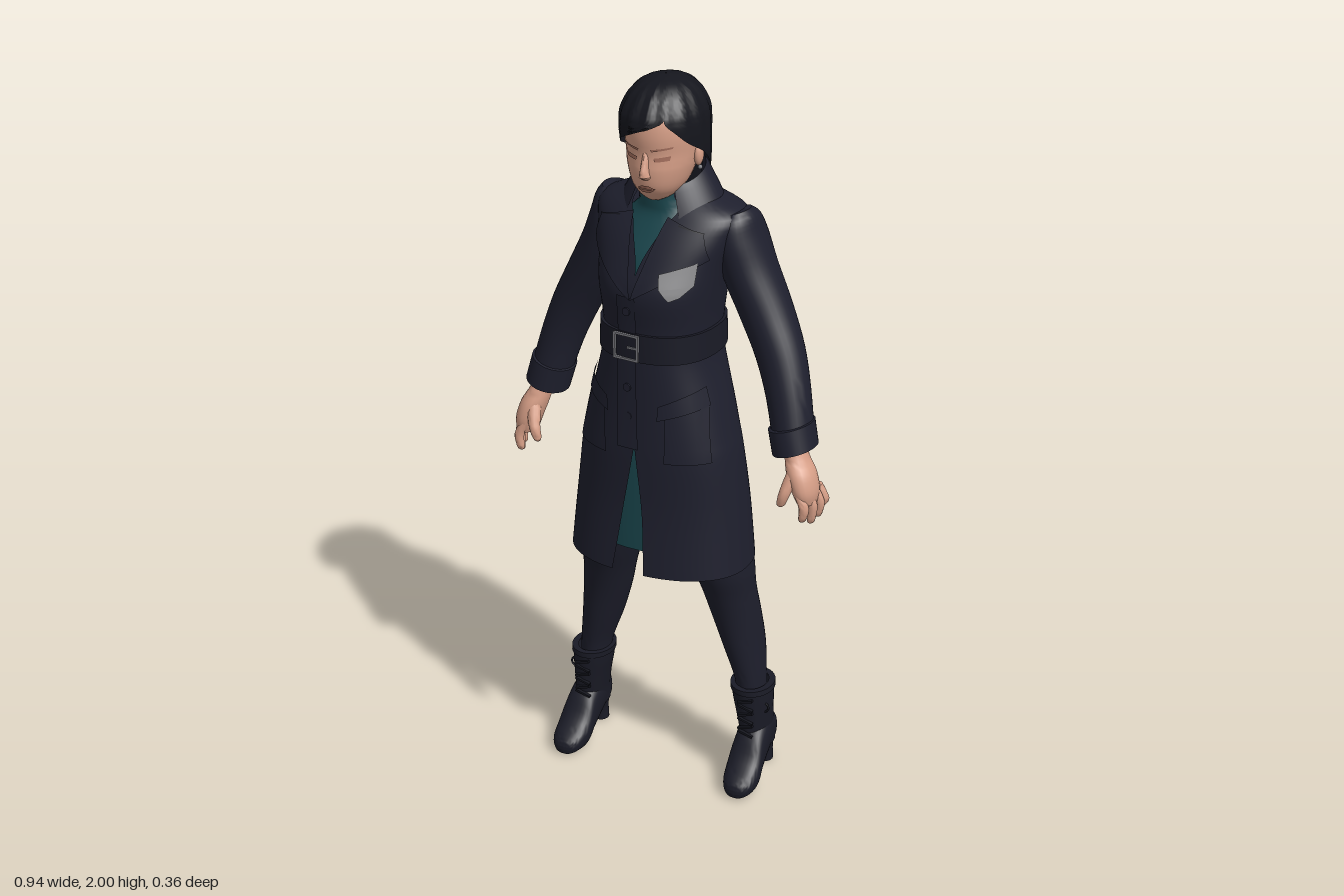
import * as THREE from 'three';
import { toCreasedNormals } from 'three/addons/utils/BufferGeometryUtils.js';

const mat = (name, color, side = THREE.DoubleSide) => new THREE.MeshStandardMaterial({ name, color, side });
const M = {
  coat: mat('coat navy', 0x1e1f2d), trim: mat('dark trim', 0x14151d), hair: mat('hair black', 0x15161d),
  skin: mat('skin', 0xd8a088), teal: mat('teal knit', 0x1a464d, THREE.FrontSide), legs: mat('leggings', 0x1d1e2b),
  leather: mat('dark leather', 0x1a1b26), silver: mat('silver', 0x7c7d82), badge: mat('grey badge', 0x8e8e90),
  brown: mat('face brown', 0xa87260),
};

function add(parent, name, geometry, material) {
  const mesh = new THREE.Mesh(geometry, material);
  mesh.name = name;
  parent.add(mesh);
}

// Smooth in-between rings. A ring is [y, cx, cz, rx, rz, openLeft, openRight]
function refine(rings, sub = 4) {
  const full = rings.map(r => Array.from({ length: 7 }, (_, k) => r[k] ?? 0));
  const out = [];
  for (let i = 0; i < full.length - 1; i++) {
    const [a, b, c, d] = [full[Math.max(i - 1, 0)], full[i], full[i + 1], full[Math.min(i + 2, full.length - 1)]];
    for (let j = 0; j < sub; j++) {
      const t = j / sub;
      out.push(b.map((p, k) => p + 0.5 * t * (c[k] - a[k]
        + t * (2 * a[k] - 5 * p + 4 * c[k] - d[k] + t * (3 * (p - c[k]) + d[k] - a[k])))));
    }
  }
  out.push(full[full.length - 1]);
  return out;
}

// Skin over horizontal rings listed bottom to top; angle 0 is the front
function loft(rings, { n = 2, seg = 32, open = false, cap = false, ripple = 0, tiltX = 0, tiltZ = 0 } = {}) {
  const pos = [], idx = [], cols = open ? seg + 1 : seg;
  const pw = v => Math.sign(v) * Math.abs(v) ** (2 / n);
  for (const [y, cx, cz, rx, rz, aL = 0, aR = 0] of rings) {
    for (let i = 0; i < cols; i++) {
      const a = aL + (2 * Math.PI - aR - aL) * i / seg;
      const k = 1 + ripple * Math.sin(a * 15);
      const dx = rx * k * pw(Math.sin(a)), dz = rz * k * pw(Math.cos(a));
      pos.push(cx + dx, y + dx * tiltX + dz * tiltZ, cz + dz);
    }
  }
  for (let j = 0; j < rings.length - 1; j++) for (let i = 0; i < seg; i++) {
    const a = j * cols + i, b = j * cols + (i + 1) % cols;
    idx.push(a, b, a + cols, b, b + cols, a + cols);
  }
  if (cap) for (const j of [0, rings.length - 1]) {
    const [y, cx, cz] = rings[j], c = pos.length / 3;
    pos.push(cx, y, cz);
    for (let i = 0; i < seg; i++) {
      const a = j * cols + i, b = j * cols + (i + 1) % cols;
      if (j) idx.push(a, b, c); else idx.push(b, a, c);
    }
  }
  const g = new THREE.BufferGeometry();
  g.setAttribute('position', new THREE.Float32BufferAttribute(pos, 3));
  g.setIndex(idx);
  return toCreasedNormals(g, 0.9);
}

// Thin four-cornered plate laid on the front (side 1) or back (side -1) of a lofted body
function patch(rings, n, corners, off, side = 1) {
  const g = new THREE.PlaneGeometry(1, 1, 8, 8), p = g.attributes.position;
  const [tl, tr, br, bl] = corners, mix = THREE.MathUtils.lerp;
  for (let i = 0; i < p.count; i++) {
    const u = p.getX(i) + 0.5, v = 0.5 - p.getY(i);
    const x = mix(mix(tl[0], tr[0], u), mix(bl[0], br[0], u), v);
    const y = mix(mix(tl[1], tr[1], u), mix(bl[1], br[1], u), v);
    let j = rings.findIndex(r => r[0] > y);
    j = j < 1 ? 1 : j;
    const t = (y - rings[j - 1][0]) / (rings[j][0] - rings[j - 1][0]);
    const [, cx, cz, rx, rz] = rings[j].map((q, k) => mix(rings[j - 1][k], q, t));
    const q = Math.min(Math.abs((x - cx) / rx), 1);
    p.setXYZ(i, x, y, cz + side * (rz * (1 - q ** n) ** (1 / n) + off));
  }
  g.computeVertexNormals();
  return g;
}
const rect = (x0, x1, y0, y1) => [[x0, y1], [x1, y1], [x1, y0], [x0, y0]];
const flip = (rings, s) => rings.map(([y, x, ...r]) => [y, x * s, ...r]);
const mirror = (pts, s) => pts.map(([x, y]) => [x * s, y]);

// Turns the upper body slightly while the feet stay straight
function twist(group) {
  const v = new THREE.Vector3(), up = new THREE.Vector3(0, 1, 0);
  group.traverse(o => {
    if (!o.isMesh) return;
    const { position, normal } = o.geometry.attributes;
    for (let i = 0; i < position.count; i++) {
      const angle = -0.1 * THREE.MathUtils.smoothstep(position.getY(i), 0.75, 1.3);
      for (const at of [position, normal]) {
        v.fromBufferAttribute(at, i).applyAxisAngle(up, angle);
        at.setXYZ(i, v.x, v.y, v.z);
      }
    }
  });
}

function buildBody(g) {
  const n = 2.3;
  const coat = refine([
    [0.68, 0, 0.003, 0.252, 0.177, 0.06, 0.23], [0.85, 0, 0, 0.236, 0.166, 0.04, 0.14],
    [1.0, 0, 0.005, 0.218, 0.16, 0.01, 0.03], [1.06, 0, 0.005, 0.206, 0.158], [1.15, 0, 0.003, 0.185, 0.156],
    [1.28, 0, 0.002, 0.152, 0.153], [1.36, 0, 0, 0.15, 0.151], [1.46, 0, -0.002, 0.162, 0.162],
    [1.53, 0, -0.018, 0.176, 0.152, 0.01, 0.01], [1.6, 0, -0.04, 0.198, 0.137, 0.12, 0.12],
    [1.65, 0, -0.055, 0.203, 0.115, 0.24, 0.24], [1.685, 0, -0.055, 0.13, 0.085, 0.5, 0.5],
    [1.71, 0, -0.05, 0.07, 0.06, 0.8, 0.8]]);
  add(g, 'coat', loft(coat, { n, seg: 64, open: true }), M.coat);
  add(g, 'coatPlacket', patch(coat, n, [[-0.045, 1.46], [0.01, 1.46], [0.012, 1.04], [-0.05, 1.04]], 0.004), M.coat);
  add(g, 'dress', loft(refine([[0.73, 0, 0, 0.2, 0.14], [1.0, 0, 0, 0.18, 0.135], [1.2, 0, 0, 0.14, 0.12]]), { n }), M.teal);
  add(g, 'sweater', loft(refine([[1.31, 0, 0, 0.154, 0.155], [1.345, 0, 0, 0.151, 0.152], [1.37, 0, 0, 0.14, 0.143],
    [1.45, 0, -0.01, 0.135, 0.14], [1.53, 0, -0.02, 0.14, 0.137], [1.6, 0, -0.04, 0.14, 0.121],
    [1.65, 0, -0.03, 0.09, 0.087], [1.68, 0, -0.01, 0.062, 0.066], [1.725, 0, 0, 0.055, 0.058]]), { n }), M.teal);
  // Collar stands around the neck and folds outward
  add(g, 'collar', loft([[1.635, 0, -0.032, 0.158, 0.122, 0.62, 0.62], [1.685, 0, -0.036, 0.13, 0.108, 0.6, 0.6],
    [1.735, 0, -0.036, 0.1, 0.094, 0.6, 0.6], [1.75, 0, -0.036, 0.088, 0.086, 0.6, 0.6],
    [1.65, 0, -0.036, 0.078, 0.078, 0.6, 0.6]], { seg: 40, open: true, tiltZ: -0.33 }), M.coat);
  // Belt with buckle
  add(g, 'belt', loft([[1.285, 0, 0, 0.148, 0.148], [1.285, 0, 0, 0.159, 0.161], [1.36, 0, 0, 0.158, 0.159],
    [1.36, 0, 0, 0.148, 0.148]], { n, seg: 48 }), M.leather);
  const frame = new THREE.Shape(rect(-0.037, 0.037, -0.036, 0.036).map(p => new THREE.Vector2(...p)));
  frame.holes.push(new THREE.Path(rect(-0.031, 0.031, -0.03, 0.03).map(p => new THREE.Vector2(...p))));
  add(g, 'buckle', new THREE.ExtrudeGeometry(frame, { depth: 0.007, bevelEnabled: false }).translate(-0.017, 1.322, 0.158), M.silver);
  add(g, 'bucklePin', new THREE.BoxGeometry(0.03, 0.005, 0.005).translate(0.002, 1.322, 0.163), M.silver);
  for (const y of [1.21, 1.13, 1.42]) {
    add(g, 'coatButton', new THREE.CylinderGeometry(0.011, 0.011, 0.008, 16).rotateX(Math.PI / 2).translate(-0.015, y, 0.161), M.coat);
  }
  for (const s of [1, -1]) {
    add(g, 'lapel', patch(coat, n, mirror([[0.05, 1.655], [0.15, 1.625], [0.168, 1.56], [0.0, 1.455]], s), 0.011), M.coat);
    add(g, 'lapelNotch', patch(coat, n, mirror([[0.085, 1.642], [0.152, 1.628], [0.151, 1.625], [0.085, 1.639]], s), 0.013), M.trim);
    add(g, 'pocket', patch(coat, n, mirror([[0.09, 1.155], [0.172, 1.175], [0.192, 1.015], [0.085, 1.015]], s), 0.008), M.coat);
    add(g, 'pocketFlap', patch(coat, n, mirror([[0.075, 1.175], [0.163, 1.215], [0.176, 1.165], [0.072, 1.135]], s), 0.015), M.coat);
    add(g, 'backSeam', patch(coat, n, mirror([[0.078, 1.58], [0.081, 1.58], [0.123, 0.69], [0.12, 0.69]], s), 0.002, -1), M.coat);
    buildArm(g, s);
  }
  add(g, 'centreBackSeam', patch(coat, n, rect(-0.0015, 0.0015, 0.69, 1.63), 0.002, -1), M.coat);
  add(g, 'badge', patch(coat, n, [[0.068, 1.53], [0.15, 1.558], [0.146, 1.5], [0.075, 1.494]], 0.016), M.badge);
  add(g, 'badge', patch(coat, n, [[0.075, 1.494], [0.146, 1.5], [0.122, 1.473], [0.1, 1.464]], 0.016), M.badge);
}

function buildArm(g, s) {
  const tiltX = 0.3 * s;
  // The left arm swings forward and the right arm back towards the hands
  const swing = rings => rings.map(([y, x, z, ...r]) =>
    [y, x * s, z + (0.03 * s - 0.006) * THREE.MathUtils.clamp((1.45 - y) / 0.35, 0, 1), ...r]);
  add(g, 'sleeve', loft(refine(swing([[1.075, 0.384, -0.018, 0.052, 0.06], [1.2, 0.354, -0.042, 0.056, 0.062],
    [1.3, 0.316, -0.06, 0.061, 0.067], [1.4, 0.263, -0.071, 0.065, 0.075], [1.5, 0.212, -0.074, 0.065, 0.084],
    [1.58, 0.186, -0.073, 0.059, 0.088], [1.63, 0.178, -0.067, 0.05, 0.074], [1.655, 0.174, -0.062, 0.037, 0.048]])),
    { tiltX, cap: true }), M.coat);
  add(g, 'cuff', loft(swing([[1.07, 0.386, -0.018, 0.04, 0.045], [1.065, 0.386, -0.018, 0.058, 0.068],
    [1.13, 0.372, -0.026, 0.059, 0.067], [1.132, 0.372, -0.026, 0.05, 0.05]]), { tiltX }), M.coat);
  // Hand
  add(g, 'palm', loft(refine(swing([[0.93, 0.428, 0.006, 0.026, 0.042], [0.965, 0.424, 0.008, 0.034, 0.05],
    [1.01, 0.412, 0.004, 0.037, 0.048], [1.05, 0.397, -0.005, 0.031, 0.038], [1.09, 0.387, -0.012, 0.028, 0.033]])),
    { seg: 20, cap: true }), M.skin);
  [[0.896, -0.036, 0.01], [0.877, -0.01, 0.008], [0.869, 0.018, 0], [0.882, 0.046, -0.012]].forEach(([tip, z, dx]) => {
    add(g, 'finger', loft(refine(swing([[tip, 0.438 + dx, z, 0.004, 0.004], [tip + 0.008, 0.441 + dx, z, 0.0105, 0.0105],
      [0.925, 0.446 + dx, z, 0.0135, 0.0135], [0.965, 0.43 + dx, z * 0.9, 0.014, 0.014]])), { seg: 10, cap: true }), M.skin);
  });
  add(g, 'thumb', loft(refine(swing([[0.92, 0.372, 0.055, 0.004, 0.004], [0.93, 0.375, 0.055, 0.012, 0.012],
    [0.965, 0.386, 0.052, 0.016, 0.016], [1.015, 0.402, 0.026, 0.02, 0.02]])), { seg: 12, cap: true }), M.skin);
}

function buildHead(g) {
  const face = refine([[1.693, 0, 0.045, 0.02, 0.024], [1.706, 0, 0.034, 0.044, 0.05], [1.735, 0, 0.018, 0.068, 0.087],
    [1.78, 0, 0.008, 0.084, 0.105], [1.82, 0, 0, 0.091, 0.111], [1.87, 0, 0, 0.095, 0.117], [1.92, 0, 0, 0.088, 0.11],
    [1.96, 0, 0, 0.06, 0.08]]);
  add(g, 'head', loft(face, { cap: true }), M.skin);
  add(g, 'neck', loft([[1.65, 0, -0.01, 0.048, 0.05], [1.76, 0, -0.005, 0.046, 0.05]]), M.skin);
  add(g, 'nose', loft(refine([[1.76, 0, 0.104, 0.01, 0.012], [1.768, 0, 0.107, 0.015, 0.022],
    [1.778, 0, 0.108, 0.012, 0.027], [1.83, 0, 0.1, 0.008, 0.013]]), { seg: 16, cap: true }), M.skin);
  add(g, 'upperLip', patch(face, 2, [[-0.01, 1.744], [0.01, 1.744], [0.025, 1.735], [-0.025, 1.735]], 0.004), M.brown);
  add(g, 'lowerLip', patch(face, 2, [[-0.024, 1.734], [0.024, 1.734], [0.011, 1.725], [-0.011, 1.725]], 0.005), M.brown);
  for (const s of [1, -1]) {
    add(g, 'eye', patch(face, 2, mirror([[0.022, 1.818], [0.06, 1.823], [0.057, 1.811], [0.025, 1.808]], s), 0.003), M.brown);
    add(g, 'eyebrow', patch(face, 2, mirror([[0.016, 1.841], [0.066, 1.847], [0.064, 1.842], [0.018, 1.835]], s), 0.003), M.brown);
    add(g, 'ear', new THREE.SphereGeometry(1, 14, 10).scale(0.012, 0.03, 0.018).translate(0.093 * s, 1.805, -0.005), M.skin);
    add(g, 'earring', new THREE.SphereGeometry(0.006, 10, 8).translate(0.098 * s, 1.772, -0.003), M.silver);
  }
  // Bobbed hair with a side parting and a swept fringe
  add(g, 'hair', loft(refine([[1.69, 0, -0.06, 0.078, 0.085, 2.1, 2.1], [1.74, 0, -0.045, 0.096, 0.108, 1.85, 1.85],
    [1.79, 0, -0.025, 0.106, 0.122, 1.65, 1.6], [1.82, 0, -0.015, 0.109, 0.13, 1.4, 1.2],
    [1.85, 0, -0.01, 0.11, 0.136, 1.05, 0.8], [1.88, 0, -0.008, 0.11, 0.139, 0.78, 0.25],
    [1.91, 0, -0.008, 0.108, 0.137, 0.52, -0.42], [1.935, 0, -0.008, 0.1, 0.125, 0.5, -0.5],
    [1.965, 0, -0.01, 0.082, 0.102, 0.5, -0.5], [1.988, 0, -0.012, 0.052, 0.064, 0.5, -0.5],
    [2.0, 0, -0.012, 0.002, 0.002, 0.5, -0.5]]), { seg: 150, open: true, ripple: 0.018 }), M.hair);
  add(g, 'napeHair', loft([[1.68, 0, -0.07, 0.06, 0.06], [1.8, 0, -0.04, 0.085, 0.09]], { ripple: 0.02, cap: true }), M.hair);
}

function buildLeg(g, s) {
  add(g, 'legging', loft(refine(flip([[0.22, 0.24, -0.062, 0.04, 0.052], [0.3, 0.235, -0.06, 0.042, 0.056],
    [0.4, 0.214, -0.062, 0.055, 0.074], [0.5, 0.193, -0.05, 0.066, 0.078], [0.58, 0.178, -0.035, 0.072, 0.083],
    [0.68, 0.16, -0.02, 0.084, 0.1], [0.85, 0.115, -0.01, 0.09, 0.108], [1.0, 0.09, 0, 0.08, 0.1]], s))), M.legs);
  add(g, 'bootShaft', loft(refine(flip([[0.09, 0.256, -0.076, 0.043, 0.06], [0.14, 0.253, -0.066, 0.043, 0.066],
    [0.2, 0.249, -0.06, 0.049, 0.066], [0.25, 0.245, -0.058, 0.055, 0.068], [0.287, 0.243, -0.057, 0.057, 0.069]], s))), M.leather);
  add(g, 'bootRim', loft(flip([[0.27, 0.244, -0.057, 0.055, 0.068], [0.272, 0.244, -0.057, 0.06, 0.072],
    [0.288, 0.243, -0.057, 0.06, 0.072], [0.288, 0.243, -0.057, 0.042, 0.055]], s)), M.leather);
  // Foot is skinned along its length, then laid forward
  add(g, 'bootFoot', loft(refine([[-0.135, 0.256, -0.115, 0.018, 0.025], [-0.12, 0.256, -0.118, 0.036, 0.05],
    [-0.06, 0.256, -0.118, 0.045, 0.065], [0, 0.258, -0.086, 0.047, 0.066], [0.045, 0.26, -0.047, 0.05, 0.045],
    [0.085, 0.262, -0.032, 0.043, 0.03], [0.108, 0.262, -0.024, 0.026, 0.02], [0.115, 0.262, -0.022, 0.008, 0.008]]
    .map(([a, x, ...r]) => [a, x * s, ...r])), { n: 2.5, cap: true }).rotateX(Math.PI / 2), M.leather);
  add(g, 'bootHeel', loft(refine(flip([[0, 0.257, -0.123, 0.022, 0.024], [0.05, 0.257, -0.118, 0.023, 0.025],
    [0.11, 0.256, -0.098, 0.038, 0.042]], s)), { seg: 20, cap: true }), M.leather);
  for (let i = 0; i < 6; i++) {
    const lace = new THREE.BoxGeometry(0.045, 0.006, 0.01).rotateZ(i % 2 ? 0.3 : -0.3);
    add(g, 'bootLace', lace.translate(0.249 * s, 0.15 + i * 0.021, 0.006 + i * 0.001), M.trim);
  }
  add(g, 'laceLoop', new THREE.TorusGeometry(0.014, 0.003, 6, 16).translate(0.288 * s, 0.225, -0.03), M.trim);
}

export function createModel() {
  const model = new THREE.Group();
  const part = name => {
    const g = new THREE.Group();
    g.name = name;
    model.add(g);
    return g;
  };
  const body = part('coatAndArms');
  buildBody(body);
  twist(body);
  buildHead(part('headAndHair'));
  for (const s of [1, -1]) buildLeg(part(s > 0 ? 'leftLeg' : 'rightLeg'), s);
  return model;
}
